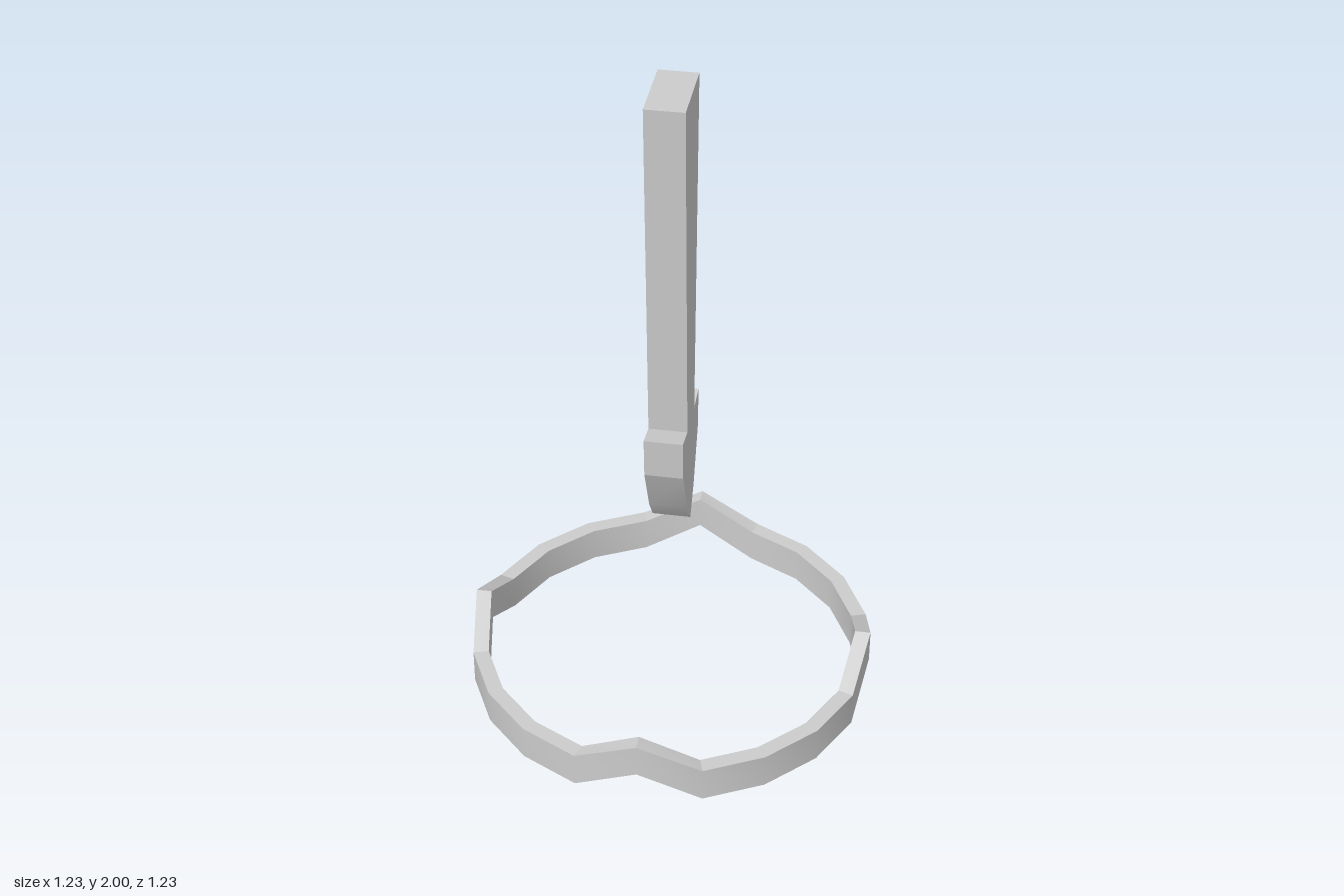
import * as THREE from 'three';
import { toCreasedNormals } from 'three/addons/utils/BufferGeometryUtils.js';

const material = new THREE.MeshStandardMaterial({ color: 0xcccccc });

function makeMesh(name, geometry) {
  const mesh = new THREE.Mesh(toCreasedNormals(geometry, 0.33), material);
  mesh.name = name;
  return mesh;
}

// Arrow plate: mirrored half outline, extruded and turned to face sideways
function createArrow() {
  const half = [[0.114, 2], [0.062, 0.932], [0.142, 0.945], [0.134, 0.818], [0.058, 0.653]];
  const outline = [
    ...half.map(([x, y]) => new THREE.Vector2(x, y)),
    new THREE.Vector2(0, 0.575),
    ...half.map(([x, y]) => new THREE.Vector2(-x, y)).reverse(),
  ];
  const thickness = 0.114;
  const geometry = new THREE.ExtrudeGeometry(new THREE.Shape(outline), { depth: thickness, bevelEnabled: false });
  geometry.translate(0, 0, -thickness / 2).rotateY(Math.PI / 2);
  return makeMesh('arrow', geometry);
}

// Twenty-sided band whose rectangular section rises to a peak at each quarter
function createRing() {
  const sides = 20, outer = 0.615, inner = 0.568;
  const positions = [], indices = [];
  for (let i = 0; i < sides; i++) {
    const a = (i / sides) * Math.PI * 2;
    const peak = i % 5 === 0;
    const low = peak ? 0.095 : 0, high = peak ? 0.2 : 0.11;
    for (const [r, y] of [[outer, low], [outer, high], [inner, high], [inner, low]]) {
      positions.push(r * Math.cos(a), y, r * Math.sin(a));
    }
    const j = (i + 1) % sides;
    for (let k = 0; k < 4; k++) {
      const n = (k + 1) % 4;
      const A = i * 4 + k, B = i * 4 + n, C = j * 4 + n, D = j * 4 + k;
      indices.push(A, B, C, A, C, D);
    }
  }
  const geometry = new THREE.BufferGeometry();
  geometry.setAttribute('position', new THREE.Float32BufferAttribute(positions, 3));
  geometry.setIndex(indices);
  return makeMesh('ring', geometry);
}

export function createModel() {
  const model = new THREE.Group();
  model.name = 'arrowMarker';
  model.add(createArrow(), createRing());
  return model;
}
